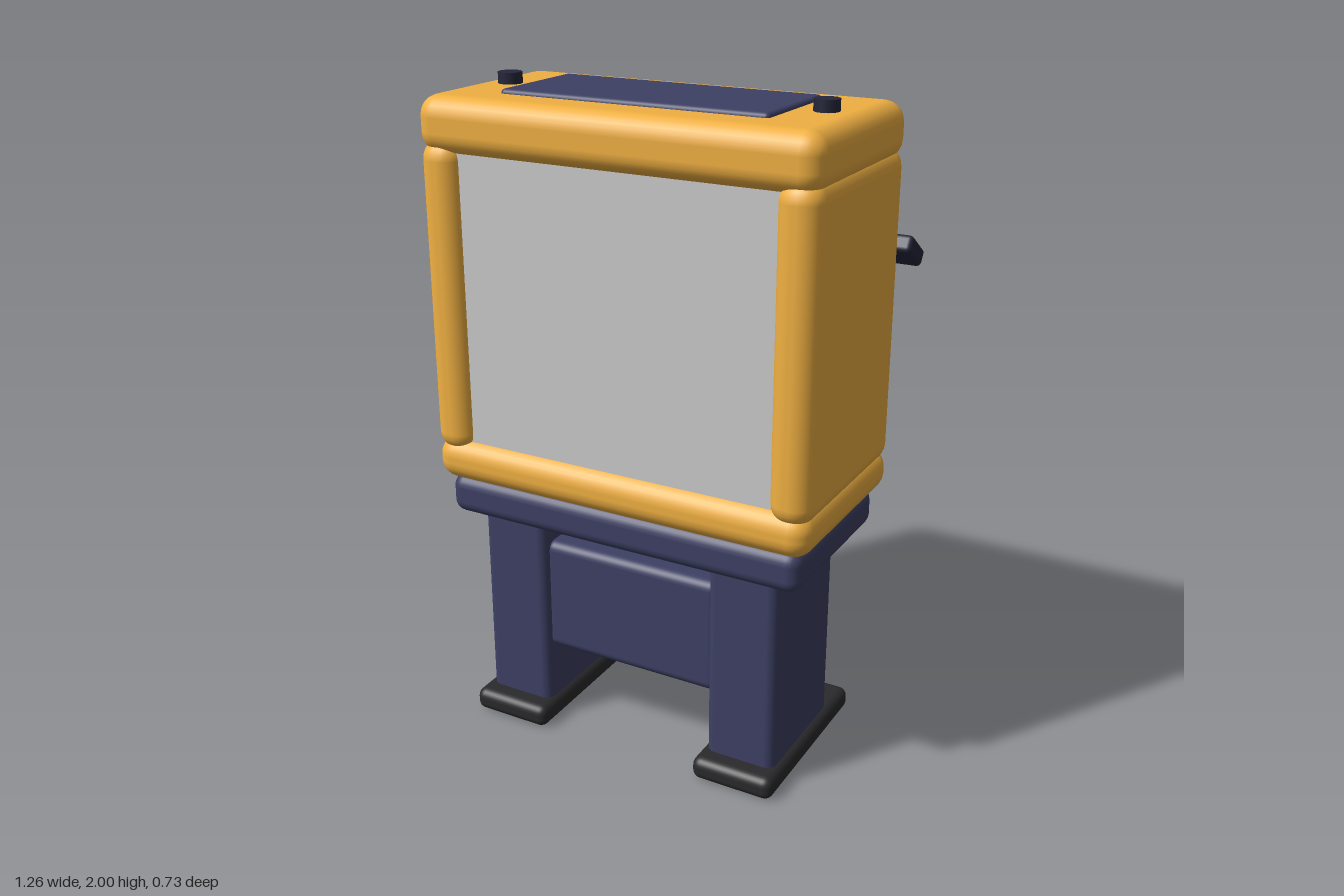
import * as THREE from 'three';
import { RoundedBoxGeometry } from 'three/addons/geometries/RoundedBoxGeometry.js';

const mat = (color) => new THREE.MeshStandardMaterial({ color });
const MATS = {
  gold: mat(0xf0b042), navy: mat(0x3d4064), rubber: mat(0x2a2a2c), dark: mat(0x24263a),
  blue: mat(0x2b3868), grey: mat(0xcccccc), brown: mat(0xa8661f),
  button: mat(0x5c6478), lime: mat(0xc4e48a),
};

// Rounded box given by its min and max on each axis
function block(parent, name, m, [x0, x1], [y0, y1], [z0, z1], r = 0.02, seg = 3) {
  const w = x1 - x0, h = y1 - y0, d = z1 - z0;
  const geo = r > 0 ? new RoundedBoxGeometry(w, h, d, seg, r) : new THREE.BoxGeometry(w, h, d);
  const mesh = new THREE.Mesh(geo, MATS[m]);
  mesh.position.set((x0 + x1) / 2, (y0 + y1) / 2, (z0 + z1) / 2);
  mesh.name = name;
  parent.add(mesh);
  return mesh;
}

export function createModel() {
  const model = new THREE.Group();
  model.name = 'cabinet';

  // Everything symmetric sits about x = 0 in this group
  const body = new THREE.Group();
  body.name = 'body';
  body.position.x = -0.0135;
  model.add(body);

  // Outer frame: top and bottom slabs with two side walls
  const depth = [-0.25, 0.366];
  block(body, 'topFrame', 'gold', [-0.618, 0.618], [1.803, 1.967], depth, 0.06);
  block(body, 'bottomFrame', 'gold', [-0.618, 0.618], [0.806, 0.942], depth, 0.06);

  for (const s of [-1, 1]) {
    const side = s > 0 ? 'left' : 'right';
    const span = (a, b) => (s > 0 ? [a, b] : [-b, -a]);
    block(body, side + 'Wall', 'gold', span(0.488, 0.618), [0.9, 1.845], depth, 0.06);
    block(body, side + 'Leg', 'navy', span(0.28, 0.502), [0.04, 0.72], [-0.122, 0.286], 0.03);
    block(body, side + 'Foot', 'rubber', span(0.262, 0.525), [0, 0.072], [-0.25, 0.35], 0.028);

    // Knobs on the top
    const knob = new THREE.Mesh(new THREE.CylinderGeometry(0.036, 0.036, 0.05, 12), MATS.dark);
    knob.name = side + 'Knob';
    knob.position.set(s * 0.498, 1.975, 0.055);
    body.add(knob);
  }

  // Plinth, cross panel and top plate
  block(body, 'plinth', 'navy', [-0.585, 0.585], [0.69, 0.815], [-0.217, 0.34], 0.04);
  block(body, 'crossPanel', 'navy', [-0.3, 0.3], [0.255, 0.62], [0.11, 0.26], 0.03);
  block(body, 'topPlate', 'navy', [-0.414, 0.414], [1.95, 1.98], [-0.119, 0.23], 0.014);

  // Screen body filling the frame, with the fittings on its back
  block(body, 'screen', 'grey', [-0.5, 0.5], [0.9, 1.85], [-0.12, 0.33], 0);
  block(body, 'upperBackPanel', 'blue', [-0.488, 0.488], [1.67, 1.82], [-0.135, -0.11], 0);
  block(body, 'backStrip', 'brown', [-0.4, 0.4], [1.585, 1.63], [-0.135, -0.11], 0);
  block(body, 'labelPlate', 'grey', [-0.28, 0.04], [1.5, 1.57], [-0.13, -0.11], 0.006);
  block(body, 'lowerRail', 'dark', [-0.355, 0.355], [1.01, 1.05], [-0.15, -0.11], 0.012);

  // Tool rail: a ledge with a lip above and below
  block(body, 'toolRail', 'dark', [-0.47, 0.47], [1.615, 1.675], [-0.19, -0.11], 0.01);
  block(body, 'toolRailUpperLip', 'dark', [-0.47, 0.47], [1.66, 1.69], [-0.21, -0.13], 0.01);
  block(body, 'toolRailLowerLip', 'dark', [-0.47, 0.47], [1.6, 1.63], [-0.22, -0.15], 0.01);

  // Handle bar across the open back
  const bar = new THREE.Mesh(new THREE.CapsuleGeometry(0.038, 0.98, 6, 16), MATS.gold);
  bar.name = 'handleBar';
  bar.rotation.z = Math.PI / 2;
  bar.position.set(0, 1.257, -0.205);
  body.add(bar);

  // Tilted control box behind the left wall
  const control = new THREE.Group();
  control.name = 'controlBox';
  control.position.set(0.54, 1.528, -0.298);
  control.rotation.x = -0.58;
  model.add(control);
  block(control, 'controlCase', 'dark', [-0.093, 0.093], [-0.027, 0.027], [-0.065, 0.065], 0.014);
  for (const x of [-0.042, 0.023]) {
    block(control, 'controlButton', 'button', [x - 0.022, x + 0.022], [0.02, 0.037], [-0.04, 0.01], 0.006);
  }
  block(control, 'controlLight', 'lime', [0.056, 0.075], [0.02, 0.04], [-0.036, 0.006], 0.004);

  return model;
}
